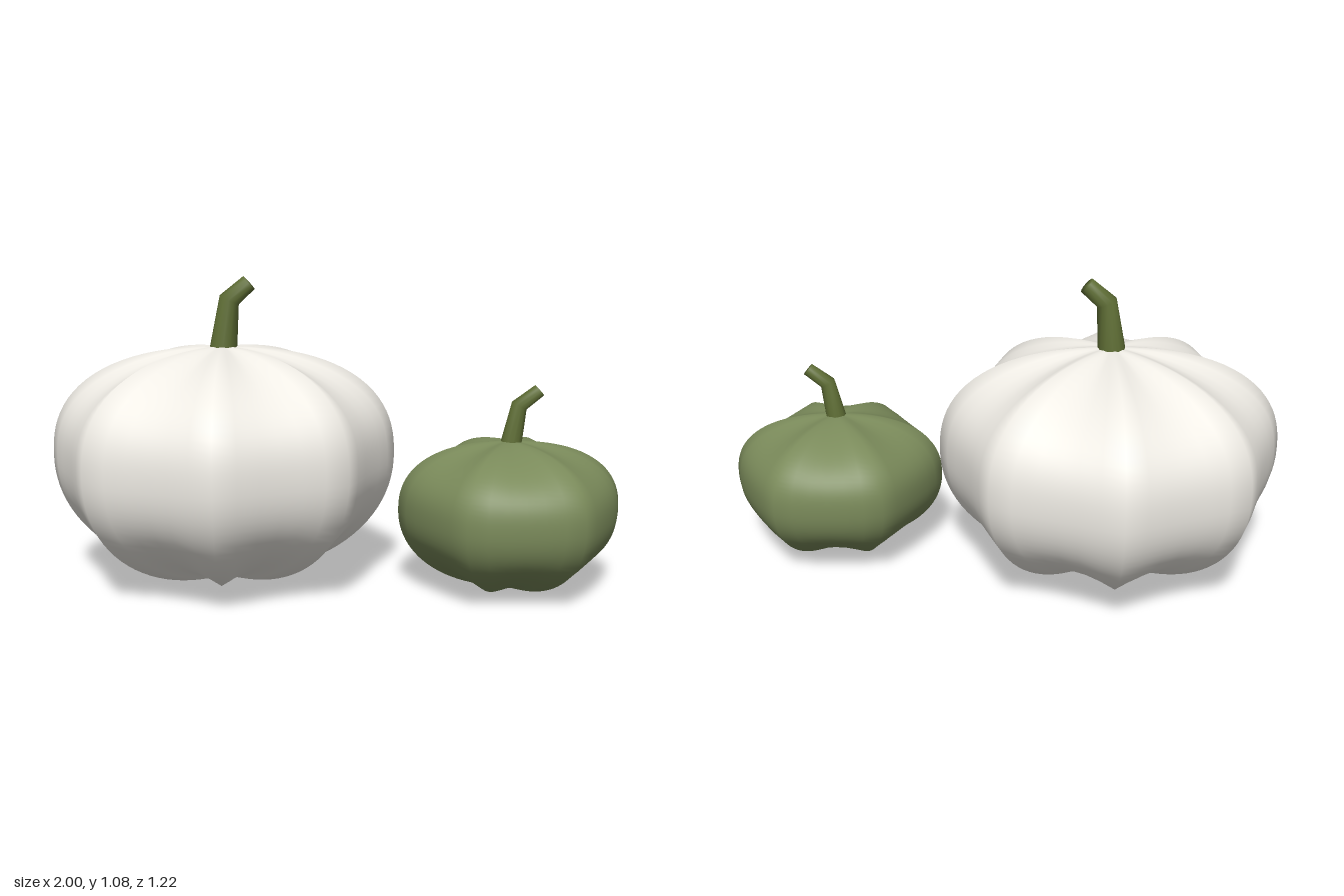
import * as THREE from 'three';
import { mergeVertices } from 'three/addons/utils/BufferGeometryUtils.js';

// Drops uvs and normals so that seams and rims weld into one smooth surface
function weld(geometry) {
  geometry.deleteAttribute('uv');
  geometry.deleteAttribute('normal');
  return mergeVertices(geometry, 1e-5);
}

// Ribbed gourd body: flat-topped squashed sphere with ridges and valleys that deepen near the poles
function gourdBody({ ribs, radius, mid, height }) {
  const geometry = weld(new THREE.SphereGeometry(1, ribs * 6, 48));
  const p = geometry.attributes.position;
  for (let i = 0; i < p.count; i++) {
    const c = p.getY(i);
    const s = Math.sqrt(Math.max(0, 1 - c * c));
    const angle = Math.atan2(p.getZ(i), p.getX(i));
    const valley = Math.abs(Math.sin(angle * ribs / 2));
    const power = c > 0 ? 2.4 : 2.1;
    const full = Math.pow(Math.pow(Math.abs(c), power) + Math.pow(s, power), -1 / power);
    const r = radius * full * (1 - valley * (0.08 + 0.5 * Math.pow(c, 4)));
    const y = mid + c * full * (c > 0 ? height - mid : mid);
    p.setXYZ(i, p.getX(i) * r, y, p.getZ(i) * r);
  }
  geometry.computeVertexNormals();
  return geometry;
}

// Tapered stem with one elbow; each level is [x, y, radius, tilt toward +x]
function stemGeometry(levels) {
  const geometry = weld(new THREE.CylinderGeometry(1, 1, 1, 12, levels.length - 1));
  const p = geometry.attributes.position;
  for (let i = 0; i < p.count; i++) {
    const [x, y, r, tilt] = levels[Math.round((p.getY(i) + 0.5) * (levels.length - 1))];
    const across = p.getX(i) * r;
    p.setXYZ(i, x + across * Math.cos(tilt), y - across * Math.sin(tilt), p.getZ(i) * r);
  }
  geometry.computeVertexNormals();
  return geometry;
}

function gourd(name, x, z, body, color, stem) {
  const group = new THREE.Group();
  group.name = name;
  group.position.set(x, 0, z);
  const add = (part, geometry, tint) => {
    const mesh = new THREE.Mesh(geometry, new THREE.MeshStandardMaterial({ color: tint }));
    mesh.name = part;
    group.add(mesh);
  };
  add(name + 'Body', gourdBody(body), color);
  add(name + 'Stem', stemGeometry(stem), 0x5f6e35);
  return group;
}

export function createModel() {
  const model = new THREE.Group();
  model.name = 'pumpkins';
  model.add(
    // Large pale pumpkin with eight ribs
    gourd('largePumpkin', -0.39, 0, { ribs: 8, radius: 0.61, mid: 0.45, height: 0.837 }, 0xefece5, [
      [0, 0.79, 0.05, 0], [0.003, 0.835, 0.048, 0.08], [0.025, 1.0, 0.037, 0.45], [0.095, 1.06, 0.03, 0.85],
    ]),
    // Small green pumpkin with six ribs
    gourd('smallPumpkin', 0.61, 0.165, { ribs: 6, radius: 0.387, mid: 0.28, height: 0.522 }, 0x7a8a5a, [
      [0, 0.48, 0.04, 0], [0.003, 0.515, 0.037, 0.1], [0.028, 0.645, 0.029, 0.5], [0.097, 0.698, 0.024, 0.85],
    ]),
  );
  return model;
}
